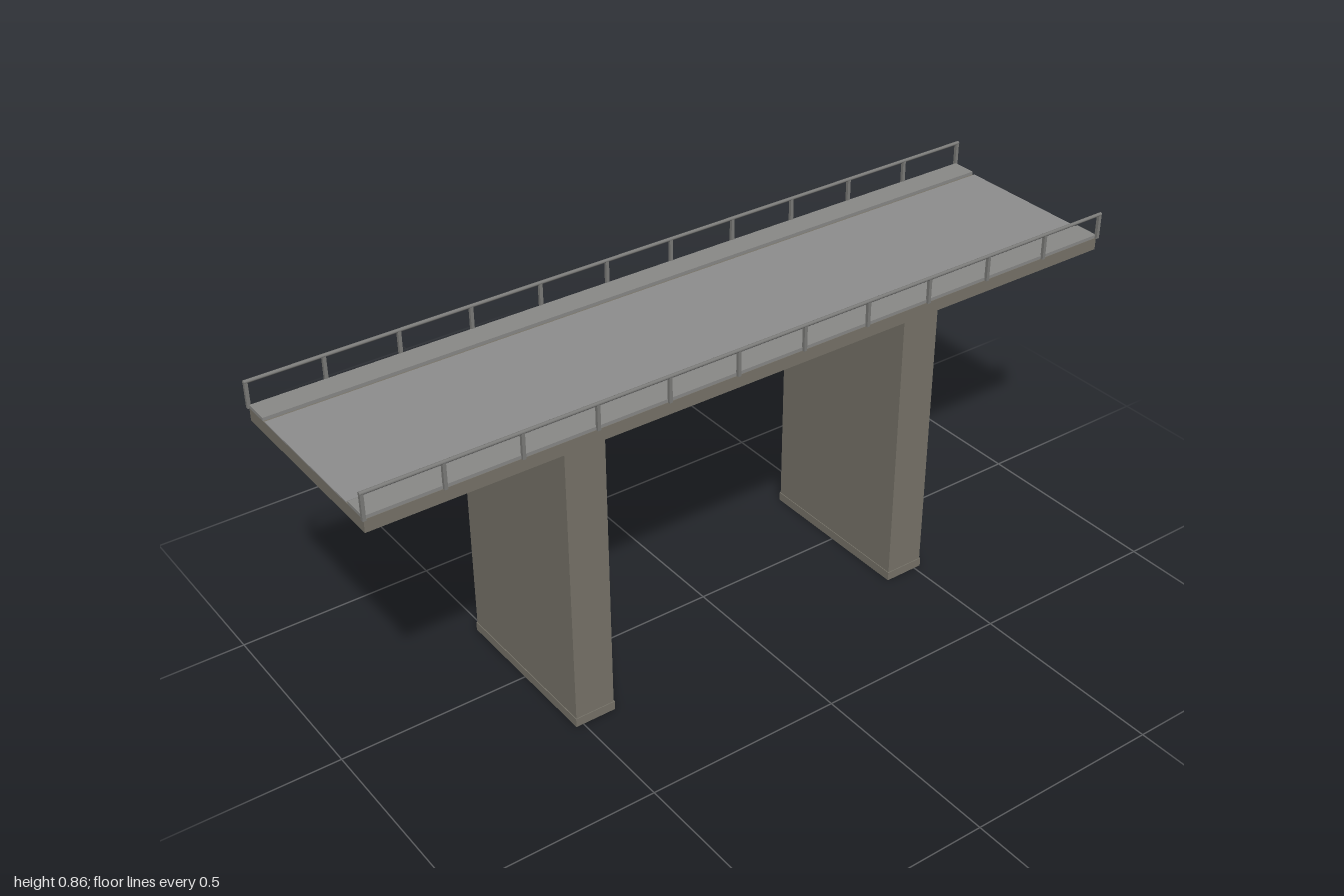
import * as THREE from 'three';

const material = (name, color) => {
  const m = new THREE.MeshStandardMaterial({ color });
  m.name = name;
  return m;
};

export function createModel() {
  const concrete = material('warm concrete', 0x78746a);
  const asphalt = material('road grey', 0x8e8e8e);
  const paving = material('pavement grey', 0x8a8a88);
  const steel = material('railing grey', 0x7c7c7a);

  const model = new THREE.Group();
  model.name = 'bridge';

  // Box given by its extents along each axis
  function box(parent, name, mat, [x0, x1], [y0, y1], [z0, z1]) {
    const mesh = new THREE.Mesh(new THREE.BoxGeometry(x1 - x0, y1 - y0, z1 - z0), mat);
    mesh.position.set((x0 + x1) / 2, (y0 + y1) / 2, (z0 + z1) / 2);
    mesh.name = name;
    parent.add(mesh);
    return mesh;
  }

  const span = [-0.995, 0.995];

  // Deck slab and road surface
  box(model, 'deckSlab', concrete, span, [0.765, 0.796], [-0.251, 0.251]);
  box(model, 'roadSurface', asphalt, span, [0.796, 0.799], [-0.179, 0.179]);

  // Wall piers on slightly wider footings
  for (const x of [-0.466, 0.466]) {
    const pier = new THREE.Group();
    pier.name = x > 0 ? 'leftPier' : 'rightPier';
    pier.position.x = x;
    box(pier, 'pierWall', concrete, [-0.051, 0.051], [0.023, 0.765], [-0.218, 0.218]);
    box(pier, 'pierFooting', concrete, [-0.053, 0.053], [0, 0.023], [-0.22, 0.22]);
    model.add(pier);
  }

  // Pavement and railing along each edge
  const postCount = 12, railZ = 0.2525, radius = 0.0045, railY = 0.8595, endX = 0.9955;
  for (const side of [-1, 1]) {
    const edge = new THREE.Group();
    edge.name = side > 0 ? 'frontEdge' : 'backEdge';
    const z = [side * 0.187, side * 0.25].sort((a, b) => a - b);
    box(edge, 'pavement', paving, span, [0.796, 0.804], z);

    const rail = new THREE.Mesh(new THREE.CylinderGeometry(radius, radius, 2 * (endX + radius), 10), steel);
    rail.name = 'handRail';
    rail.rotation.z = Math.PI / 2;
    rail.position.set(0, railY, side * railZ);
    edge.add(rail);

    for (let i = 0; i < postCount; i++) {
      const x = -endX + (2 * endX * i) / (postCount - 1);
      box(edge, 'railPost', steel, [x - 0.004, x + 0.004], [0.796, railY],
        [side * railZ - 0.004, side * railZ + 0.004]);
    }
    model.add(edge);
  }
  return model;
}
